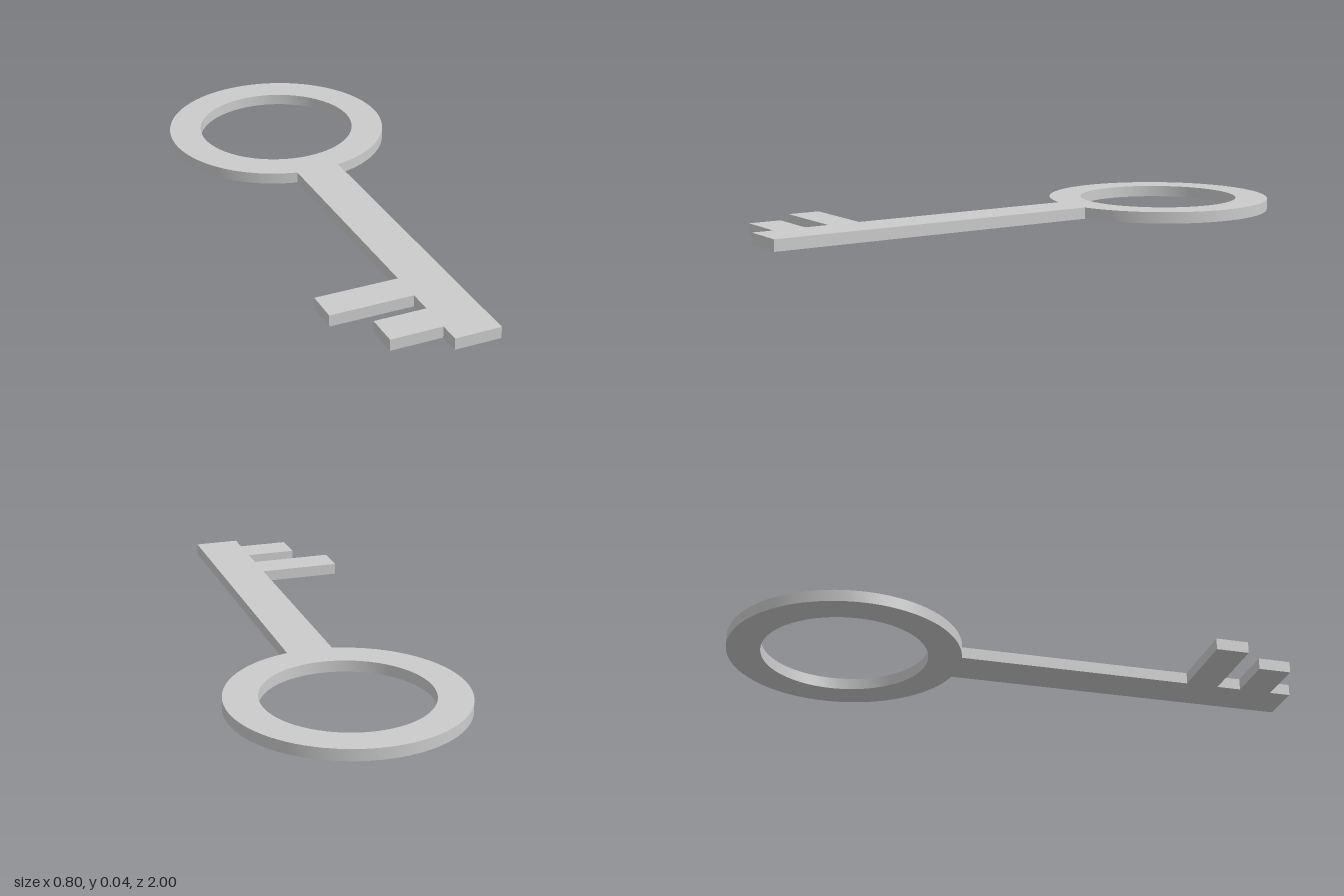
import * as THREE from 'three';
import { toCreasedNormals } from 'three/addons/utils/BufferGeometryUtils.js';

const THICKNESS = 0.04;
const BOW_Y = 0.6, BOW_OUTER = 0.4, BOW_INNER = 0.285;
const SHANK = 0.08; // half width

export function createModel() {
  const key = new THREE.Group();
  key.name = 'key';

  // Outline drawn flat, with the bow towards +y (laid down to -z later)
  const outline = new THREE.Shape();
  const joint = Math.acos(SHANK / BOW_OUTER);
  outline.absarc(0, BOW_Y, BOW_OUTER, -joint, Math.PI + joint, false);

  // Two teeth on the left edge of the shank: [top, bottom, reach]
  for (const [top, bottom, reach] of [[-0.61, -0.725, -0.37], [-0.81, -0.925, -0.26]]) {
    outline.lineTo(-SHANK, top);
    outline.lineTo(reach, top);
    outline.lineTo(reach, bottom);
    outline.lineTo(-SHANK, bottom);
  }

  // Shank tip
  outline.lineTo(-SHANK, -1);
  outline.lineTo(SHANK, -1);
  outline.closePath();

  // Opening of the bow
  const hole = new THREE.Path();
  hole.absarc(0, BOW_Y, BOW_INNER, 0, Math.PI * 2, true);
  outline.holes.push(hole);

  const flat = new THREE.ExtrudeGeometry(outline, {
    depth: THICKNESS, bevelEnabled: false, curveSegments: 40,
  });
  flat.rotateX(-Math.PI / 2);

  const body = new THREE.Mesh(
    toCreasedNormals(flat, 0.6),
    new THREE.MeshStandardMaterial({ color: 0xcccccc }),
  );
  body.name = 'keyBody';
  key.add(body);
  return key;
}
